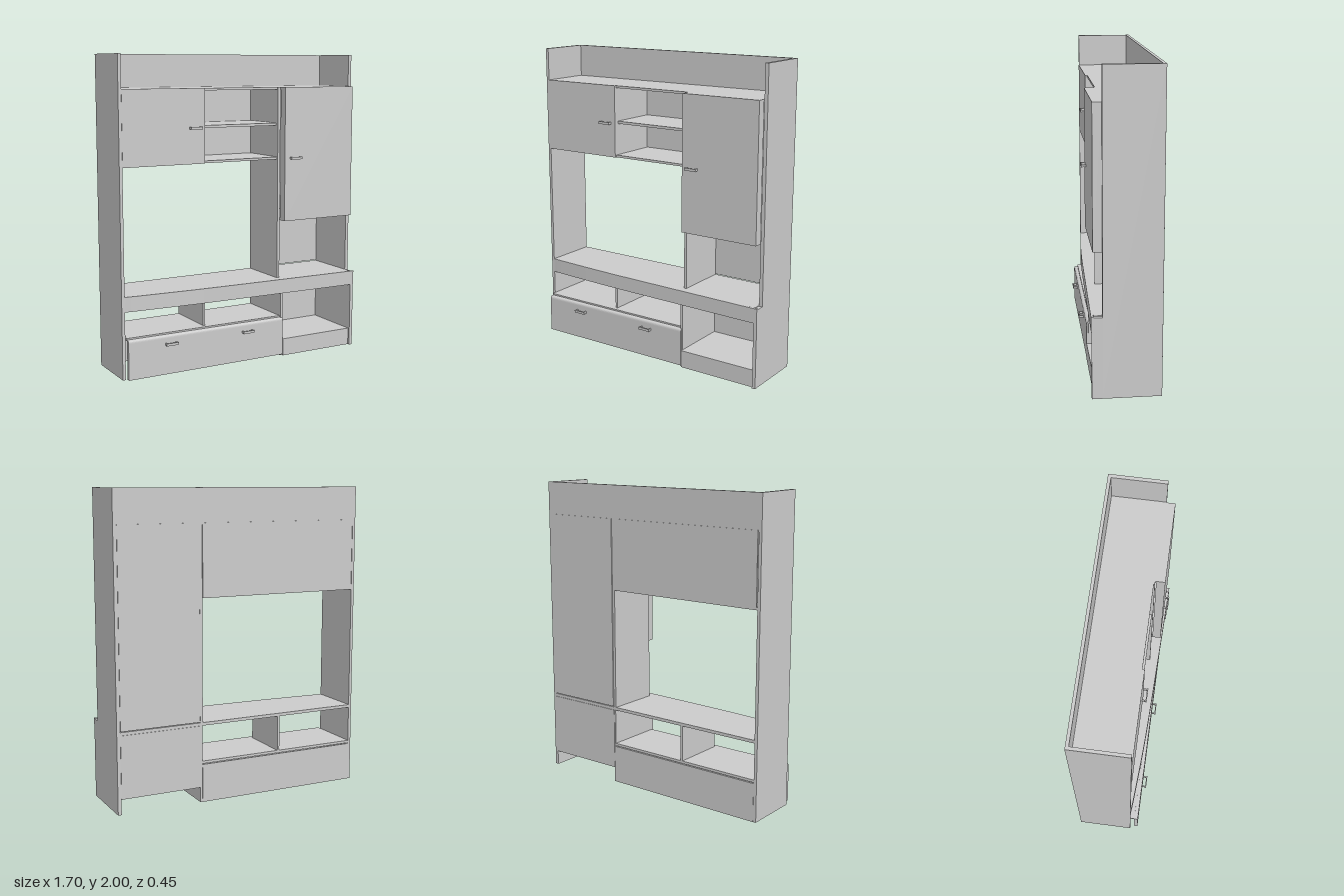
import * as THREE from 'three';

const grey = new THREE.MeshStandardMaterial({ color: 0xcccccc, flatShading: true });

export function createModel() {
  const root = new THREE.Group();
  root.name = 'wallUnit';

  const add = (name, geometry, parent = root) => {
    const mesh = new THREE.Mesh(geometry, grey);
    mesh.name = name;
    parent.add(mesh);
    return mesh;
  };
  // Board given by its limits on each axis
  const board = (name, x0, x1, y0, y1, z0, z1, parent) => {
    const g = new THREE.BoxGeometry(x1 - x0, y1 - y0, z1 - z0);
    g.translate((x0 + x1) / 2, (y0 + y1) / 2, (z0 + z1) / 2);
    return add(name, g, parent);
  };

  const L = -0.83, R = 0.827, BACK = -0.22;

  // Upright panels
  board('outerSidePanel', -0.85, L, 0, 2, BACK, 0.14);
  board('tallSidePanel', R, 0.85, 0, 2, BACK, 0.14);
  board('tallSideStep', R, 0.85, 0, 0.52, 0.14, 0.205);
  board('tallDivider', 0.272, 0.29, 0.525, 1.79, BACK, 0.135);
  board('lowerDivider', 0.275, 0.29, 0, 0.505, BACK, 0.178);

  // Top back board and thin back panels
  board('topBackBoard', L, R, 1.79, 2, BACK, -0.2);
  board('upperCabinetBack', L + 0.005, 0.27, 1.32, 1.785, -0.224, -0.215);
  board('tallCabinetBack', 0.292, R, 0.53, 1.785, -0.224, -0.215);
  board('lowerNicheBack', 0.285, R, 0.1, 0.505, -0.224, -0.215);
  board('drawerBack', L, 0.275, 0, 0.25, -0.222, -0.21);

  // Upper cabinet with one door and open shelves
  board('upperCabinetTop', L, 0.272, 1.775, 1.79, BACK, 0.128);
  board('upperCabinetBottom', L, 0.272, 1.32, 1.335, BACK, 0.128);
  board('upperCabinetDivider', -0.285, -0.27, 1.335, 1.775, -0.215, 0.128);
  board('openShelf', -0.27, 0.272, 1.54, 1.557, -0.215, 0.11);
  board('upperDoor', L, -0.27, 1.32, 1.79, 0.128, 0.142);

  // Tall cabinet with a projecting door
  board('tallCabinetTop', 0.29, R, 1.775, 1.79, BACK, 0.14);
  board('tallCabinetFloor', 0.29, R, 0.915, 0.93, -0.215, 0.14);
  board('tallDoor', 0.29, R - 0.002, 0.915, 1.79, 0.14, 0.195);

  // Long shelf and its fascia share a bowed front edge
  const front = new THREE.SplineCurve([
    [L, 0.14], [-0.7, 0.151], [-0.3, 0.175], [0.29, 0.193], [0.85, 0.208],
  ].map(([x, z]) => new THREE.Vector2(x, -z))).getPoints(24);
  const bowed = (name, outline, y, height) => {
    const g = new THREE.ExtrudeGeometry(new THREE.Shape(outline), { depth: height, bevelEnabled: false });
    g.rotateX(-Math.PI / 2).translate(0, y, 0);
    return add(name, g);
  };
  const inset = front.map((p) => new THREE.Vector2(p.x, p.y + 0.014)).reverse();
  bowed('fascia', [...front, ...inset], 0.43, 0.095);
  bowed('longShelf', [
    new THREE.Vector2(L, -BACK), ...inset.slice().reverse().filter((p) => p.x < R),
    new THREE.Vector2(R, -0.19), new THREE.Vector2(R, -BACK),
  ], 0.505, 0.02);

  // Low open compartments
  board('compartmentFloor', L, 0.275, 0.255, 0.272, BACK, 0.165);
  board('compartmentDivider', -0.287, -0.272, 0.272, 0.505, BACK, 0.135);
  board('lowerNicheFloor', 0.29, R, 0.1, 0.115, -0.215, 0.19);
  board('plinth', 0.29, R, 0, 0.1, 0.175, 0.19);

  // Drawer front with a rounded top edge
  const profile = new THREE.Shape();
  profile.moveTo(0.165, 0.01);
  profile.lineTo(0.19, 0.01);
  profile.lineTo(0.19, 0.243);
  profile.quadraticCurveTo(0.19, 0.262, 0.172, 0.262);
  profile.lineTo(0.165, 0.262);
  profile.closePath();
  const drawer = new THREE.ExtrudeGeometry(profile, { depth: 1.115, bevelEnabled: false, curveSegments: 6 });
  drawer.rotateY(-Math.PI / 2).translate(0.285, 0, 0);
  add('drawerFront', drawer);

  // Bar handles
  [[-0.34, 1.545, 0.142], [0.367, 1.33, 0.195], [-0.543, 0.207, 0.19], [0.01, 0.207, 0.19]].forEach(([x, y, z]) => {
    const handle = new THREE.Group();
    handle.name = 'handle';
    handle.position.set(x, y, z);
    for (const s of [-1, 1]) {
      const cx = s * 0.035;
      board('handlePost', cx - 0.004, cx + 0.004, -0.007, 0.007, 0, 0.024, handle);
    }
    board('handleBar', -0.041, 0.041, -0.008, 0.008, 0.022, 0.029, handle);
    root.add(handle);
  });

  return root;
}
